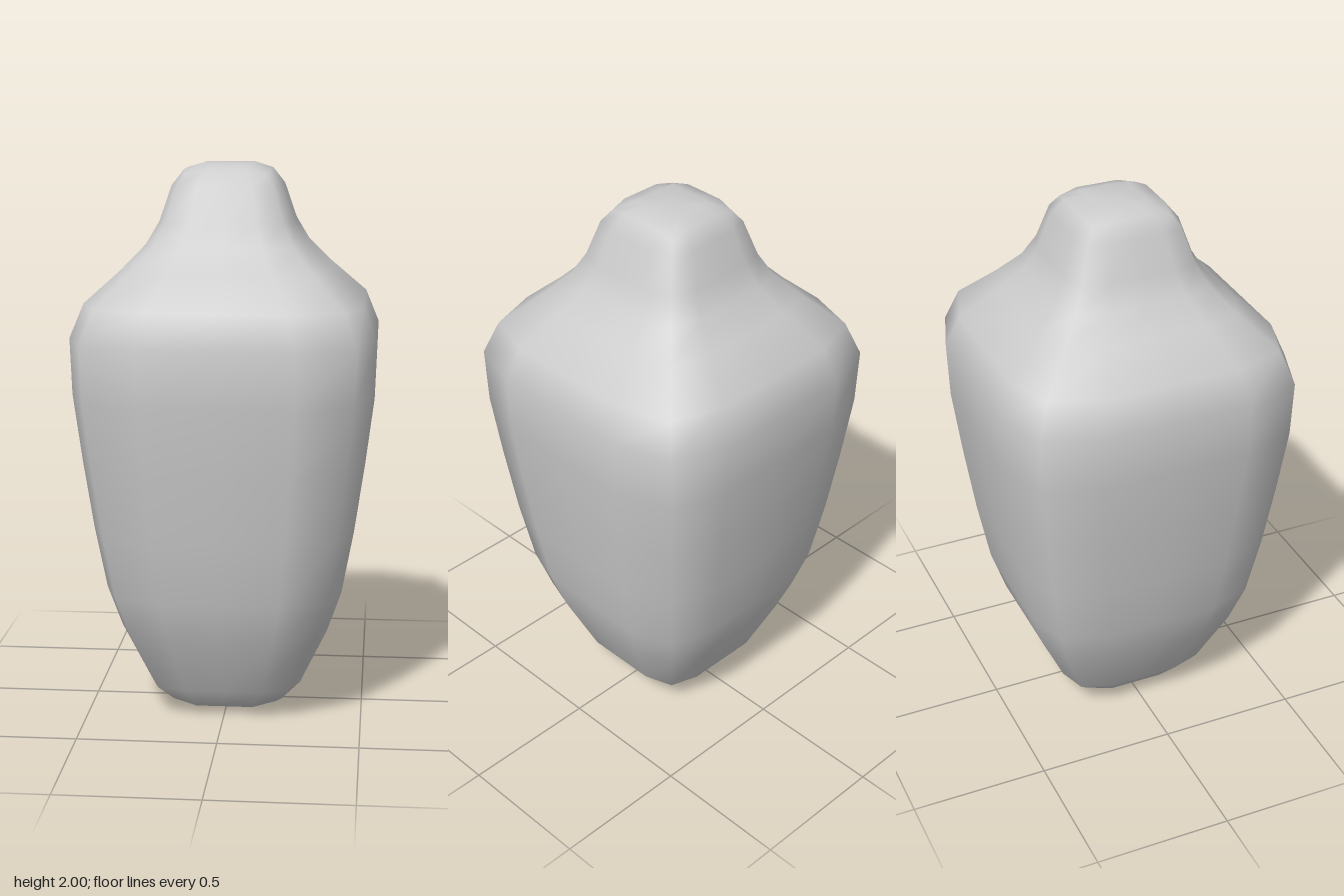
import * as THREE from 'three';

// Cross-sections from bottom to top:
// [half width, height, corner factor, corner height shift]
const K = 0.875;
const SECTIONS = [
  [0, 0, 1, 0],
  [0.105, 0.003, 1, 0],
  [0.205, 0.03, 0.92, 0.02],
  [0.275, 0.11, K, 0],
  [0.375, 0.33, K, 0],
  [0.425, 0.48, K, 0],
  [0.467, 0.71, K, 0],
  [0.503, 0.96, K, 0],
  [0.533, 1.2, K, 0],
  [0.54, 1.4, K, 0],
  [0.492, 1.52, K, 0],
  [0.365, 1.635, K, 0],
  [0.283, 1.72, K, 0],
  [0.237, 1.8, K, 0],
  [0.195, 1.925, K, 0],
  [0.153, 1.98, 0.94, -0.016],
  [0.088, 2, 1, 0],
  [0, 2, 1, 0],
];

// One quarter of a square ring with cut-in corners, repeated by 90 degree turns
function ringPoints([a, y, k, shift]) {
  const quarter = [[a, y, 0], [a, y, a / 2], [a * k, y + shift, a * k], [a / 2, y, a]];
  const points = [];
  for (let turn = 0; turn < 4; turn++) {
    for (const [x, h, z] of quarter) {
      const [px, pz] = [[x, z], [-z, x], [-x, -z], [z, -x]][turn];
      points.push([px, h, pz]);
    }
  }
  return points;
}

// Joins the rings into one smooth closed skin; end rings are single points
function loftSections(sections) {
  const positions = [], index = [], n = 16;
  const last = sections.length - 1;
  const rings = sections.map((s) => {
    const points = s[0] === 0 ? [[0, s[1], 0]] : ringPoints(s);
    const start = positions.length / 3;
    points.forEach((p) => positions.push(...p));
    return (i) => start + (i % points.length);
  });
  for (let r = 0; r < last; r++) {
    for (let i = 0; i < n; i++) {
      const a = rings[r](i), b = rings[r](i + 1);
      const c = rings[r + 1](i + 1), d = rings[r + 1](i);
      if (r > 0) index.push(a, d, b);
      if (r < last - 1) index.push(b, d, c);
    }
  }
  const geometry = new THREE.BufferGeometry();
  geometry.setAttribute('position', new THREE.Float32BufferAttribute(positions, 3));
  geometry.setIndex(index);
  geometry.computeVertexNormals();
  return geometry;
}

export function createModel() {
  const group = new THREE.Group();
  group.name = 'vase';

  // Solid body with shoulder, neck and rounded closed top
  const body = new THREE.Mesh(
    loftSections(SECTIONS),
    new THREE.MeshStandardMaterial({ color: 0xcccccc })
  );
  body.name = 'body';
  group.add(body);
  return group;
}
